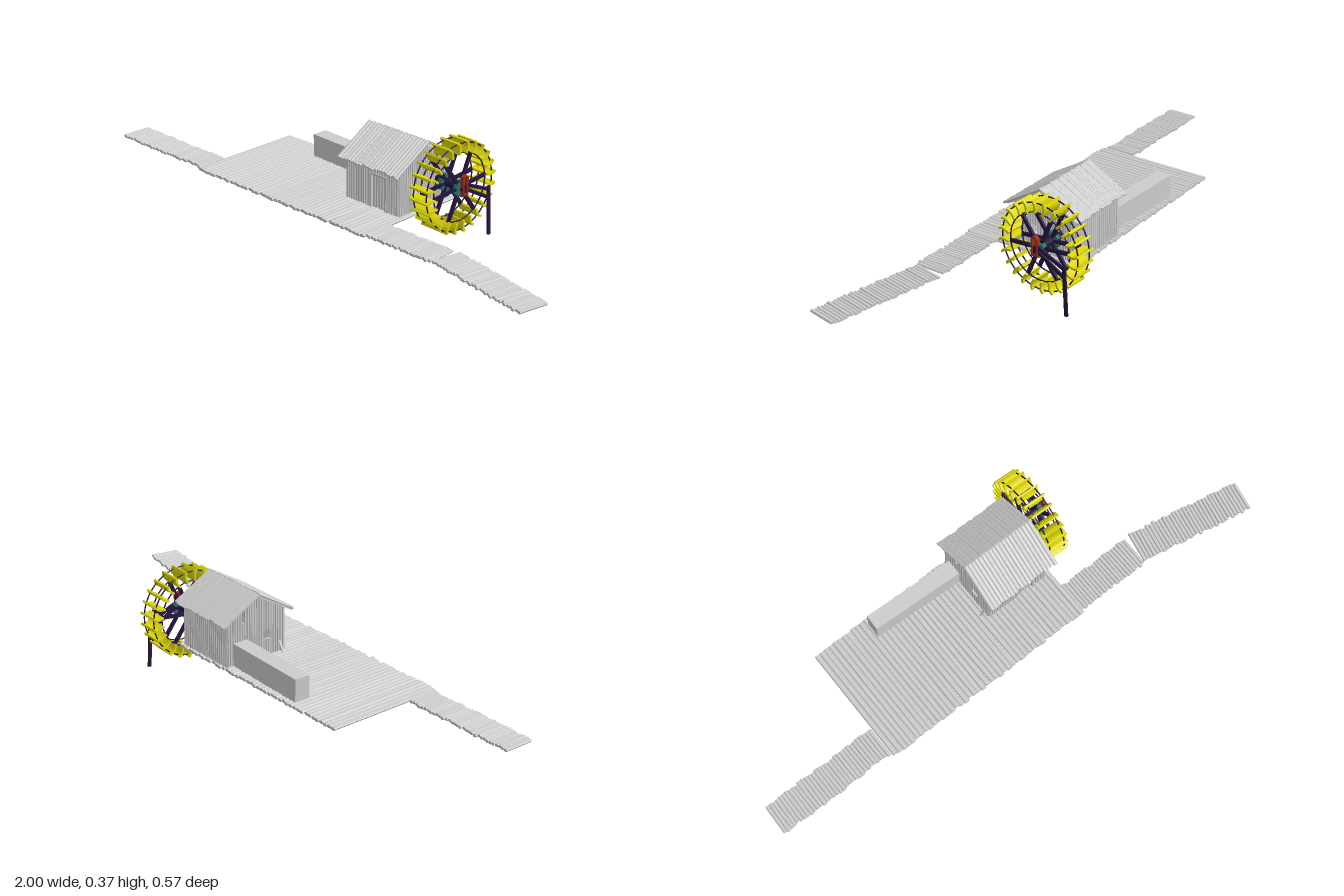
import * as THREE from 'three';

const material = (color) => new THREE.MeshStandardMaterial({ color, side: THREE.DoubleSide });
const grey = material(0xcccccc), yellow = material(0xdcd608), purple = material(0x25133e);
const red = material(0xa02c14), teal = material(0x267266);

let seed = 7;
const rand = (a) => {
  seed = (seed * 16807) % 2147483647;
  return (seed / 2147483647 * 2 - 1) * a;
};

function add(parent, name, geometry, mat, x = 0, y = 0, z = 0) {
  const mesh = new THREE.Mesh(geometry, mat);
  mesh.name = name;
  mesh.position.set(x, y, z);
  parent.add(mesh);
  return mesh;
}
const box = (parent, name, mat, w, h, d, x, y, z) =>
  add(parent, name, new THREE.BoxGeometry(w, h, d), mat, x, y, z);

function group(parent, name, x = 0, y = 0, z = 0) {
  const g = new THREE.Group();
  g.name = name;
  g.position.set(x, y, z);
  parent.add(g);
  return g;
}

// Rough board with worn, sloping edges: width x, length y, thickness z
function plank(w, length, t, flat = 0.5) {
  const f = w * flat / 2, h = t / 2;
  const profile = [[-w / 2, 0], [-f, -h], [f, -h], [w / 2, 0], [f, h], [-f, h]];
  const shape = new THREE.Shape(profile.map(([x, y]) => new THREE.Vector2(x, y)));
  const g = new THREE.ExtrudeGeometry(shape, { depth: length, bevelEnabled: false });
  return g.translate(0, 0, -length / 2).rotateX(Math.PI / 2);
}
const square = (w, length, t) => new THREE.BoxGeometry(w, length, t);

// Bar between two points [y, z] of the plane at the given x
function bar(parent, name, mat, x, [y0, z0], [y1, z1], wx, wz, make = square) {
  const geometry = make(wx, Math.hypot(y1 - y0, z1 - z0), wz);
  const m = add(parent, name, geometry, mat, x, (y0 + y1) / 2, (z0 + z1) / 2);
  m.rotation.x = Math.atan2(z1 - z0, y1 - y0);
  return m;
}

// Row of uneven boards along local x
function boards(parent, name, length, depth, count, thickness, wobble) {
  const step = length / count;
  for (let i = 0; i < count; i++) {
    const b = add(parent, name, plank(step * 1.08, depth + rand(wobble), thickness, 0.5 + rand(0.12)), grey,
      -length / 2 + (i + 0.5) * step, rand(0.001), rand(wobble / 2));
    b.rotation.set(Math.PI / 2, rand(0.09), rand(step * 0.2 / depth));
  }
}

function walkway(parent, x0, z0, x1, z1) {
  const g = group(parent, 'walkwaySection', (x0 + x1) / 2, 0.118, (z0 + z1) / 2);
  g.rotation.y = -Math.atan2(z1 - z0, x1 - x0);
  boards(g, 'walkwayBoard', Math.hypot(x1 - x0, z1 - z0), 0.11, 11, 0.01, 0.006);
}

// Walls, door and roof; local z = 0 lies under the ridge
function hut(parent) {
  const g = group(parent, 'hut', 0.115, 0, -0.057);
  g.rotation.y = 0.03;
  const base = 0.12, front = 0.12, back = -0.124, half = 0.122;
  const roofY = (z) => (z > 0 ? 0.356 - 0.61 * z : 0.352 + 0.6 * z);

  // Gable walls, with a small window and a missing upper board
  const n = 24, step = (front - back) / n;
  for (const side of [-1, 1]) {
    for (let i = 0; i < n; i++) {
      const z = back + (i + 0.5) * step;
      const top = roofY(z + Math.sign(z) * step / 2);
      const tilt = rand(0.22);
      const piece = (y0, y1) => {
        const p = add(g, 'gableBoard', plank(step * 1.1, y1 - y0, 0.009), grey, side * half, (y0 + y1) / 2, z);
        p.rotation.y = Math.PI / 2 + tilt;
      };
      if (z > 0.029 && z < 0.06) {
        piece(base, 0.183);
        piece(0.214, top);
      } else if (i === 6) piece(base, 0.268);
      else piece(base, top);
    }
  }

  // Front and back walls, with the doorway at the front
  const m = 22, w = half * 2 / m;
  for (const z of [front, back]) {
    for (let i = 0; i < m; i++) {
      const x = -half + (i + 0.5) * w;
      const door = z > 0 && x > 0 && x < 0.066;
      const y0 = door ? 0.24 : base, y1 = 0.277;
      const b = add(g, 'wallBoard', plank(w * 1.1, y1 - y0, 0.009), grey, x, (y0 + y1) / 2, z);
      b.rotation.y = rand(0.22);
    }
  }
  for (let i = 0; i < 5; i++) {
    add(g, 'doorBoard', plank(0.0135, 0.118, 0.007), grey, 0.006 + i * 0.0128, 0.18, front - 0.004);
  }
  for (const x of [-0.003, 0.066]) box(g, 'doorPost', grey, 0.007, 0.124, 0.01, x, 0.182, front + 0.002);
  box(g, 'doorLintel', grey, 0.076, 0.007, 0.01, 0.031, 0.243, front + 0.002);
  const prop = box(g, 'wallProp', grey, 0.006, 0.05, 0.008, -half - 0.009, 0.142, 0.1);
  prop.rotation.z = -0.5;

  // Roof boards run from ridge to eaves, rougher at the front
  const slopes = [[0.15, 0.272, 0.009, 0.5, 0.2], [-0.149, 0.279, 0.005, 0.85, 0.04]];
  for (const [z, y, thick, flat, roll] of slopes) {
    for (let i = 0; i < 20; i++) {
      const k = 1 + rand(0.025);
      const x = -0.1365 + (i + 0.5) * 0.0141;
      const b = bar(g, 'roofBoard', grey, x, [0.361 + rand(0.0015), 0], [0.361 + (y - 0.361) * k, z * k],
        0.0155, thick, (w, l, t) => plank(w, l, t, flat));
      b.rotation.y = rand(roll);
    }
    for (const x of [-0.13, 0.13]) bar(g, 'roofRafter', grey, x, [0.354, 0], [y - 0.005, z * 0.97], 0.008, 0.006);
  }
}

function waterWheel(parent) {
  const g = group(parent, 'waterWheel', 0.312, 0.206, -0.124);

  // Twin rims and six spokes on both sides
  for (const x of [-0.03, 0.03]) {
    for (const r of [0.156, 0.122]) {
      add(g, 'rim', new THREE.TorusGeometry(r, 0.0025, 6, 48), purple, x).rotation.y = Math.PI / 2;
    }
    for (let i = 0; i < 6; i++) {
      const a = 0.105 + i * Math.PI / 3;
      bar(g, 'spoke', purple, x, [0, 0], [Math.sin(a) * 0.122, -Math.cos(a) * 0.122], 0.009, 0.012);
    }
  }

  // Curved paddles extruded across the wheel
  const s = new THREE.Shape();
  s.moveTo(-0.005, 0.123);
  s.bezierCurveTo(-0.001, 0.135, 0.006, 0.148, -0.005, 0.162);
  s.lineTo(0.002, 0.165);
  s.bezierCurveTo(0.013, 0.15, 0.007, 0.135, 0.002, 0.121);
  s.closePath();
  const paddle = new THREE.ExtrudeGeometry(s, { depth: 0.086, bevelEnabled: false, curveSegments: 4 });
  paddle.translate(0, 0, -0.043);
  paddle.rotateY(Math.PI / 2);
  for (let i = 0; i < 24; i++) add(g, 'paddle', paddle, yellow).rotation.x = (i + 0.4) * Math.PI / 12;

  // Axle and studded hubs
  const axle = new THREE.CylinderGeometry(0.014, 0.014, 0.13, 10);
  add(g, 'axle', axle, purple, -0.008).rotation.z = Math.PI / 2;
  for (const x of [-0.034, 0.038]) {
    add(g, 'hub', new THREE.CylinderGeometry(0.022, 0.022, 0.014, 12), teal, x).rotation.z = Math.PI / 2;
    for (let i = 0; i < 6; i++) {
      const a = 0.105 + (i + 0.5) * Math.PI / 3;
      box(g, 'hubStud', teal, 0.016, 0.014, 0.014, x, Math.sin(a) * 0.024, -Math.cos(a) * 0.024).rotation.x = a;
    }
  }

  // Outer bearing: tall flat arch around the axle end
  const loop = (path, r, bottom) => {
    path.moveTo(-r, bottom);
    path.lineTo(r, bottom);
    path.lineTo(r, 0.039);
    path.absarc(0, 0.039, r, 0, Math.PI);
    path.closePath();
    return path;
  };
  const arch = loop(new THREE.Shape(), 0.0125, -0.022);
  arch.holes.push(loop(new THREE.Path(), 0.0065, -0.016));
  const archGeometry = new THREE.ExtrudeGeometry(arch, { depth: 0.013, bevelEnabled: false, curveSegments: 10 });
  add(g, 'bearingArch', archGeometry, red, 0.047).rotation.y = Math.PI / 2;

  // Support leg and its two braces
  bar(g, 'supportLeg', purple, 0.053, [-0.022, -0.117], [-0.203, -0.126], 0.007, 0.012);
  bar(g, 'supportBrace', purple, 0.052, [0.012, -0.01], [-0.034, -0.117], 0.007, 0.012);
  bar(g, 'supportBrace', purple, 0.052, [-0.004, -0.01], [-0.064, -0.117], 0.007, 0.012);
}

export function createModel() {
  const model = new THREE.Group();
  model.name = 'waterMill';

  // Slightly turned board deck
  const deck = group(model, 'deck', -0.15, 0.117, 0.04);
  deck.rotation.y = 0.042;
  boards(deck, 'deckBoard', 0.825, 0.445, 44, 0.011, 0.005);

  // Walkways on both sides of the deck
  const sections = [
    [-0.997, 0.225, -0.853, 0.221], [-0.852, 0.221, -0.707, 0.216], [-0.706, 0.215, -0.56, 0.209],
    [0.265, 0.181, 0.407, 0.176], [0.408, 0.175, 0.551, 0.17],
    [0.562, 0.164, 0.706, 0.186], [0.707, 0.186, 0.848, 0.208], [0.849, 0.208, 0.99, 0.23],
  ];
  for (const s of sections) walkway(model, ...s);

  box(model, 'lowWall', grey, 0.355, 0.085, 0.058, -0.178, 0.162, -0.125);
  hut(model);
  waterWheel(model);
  return model;
}
